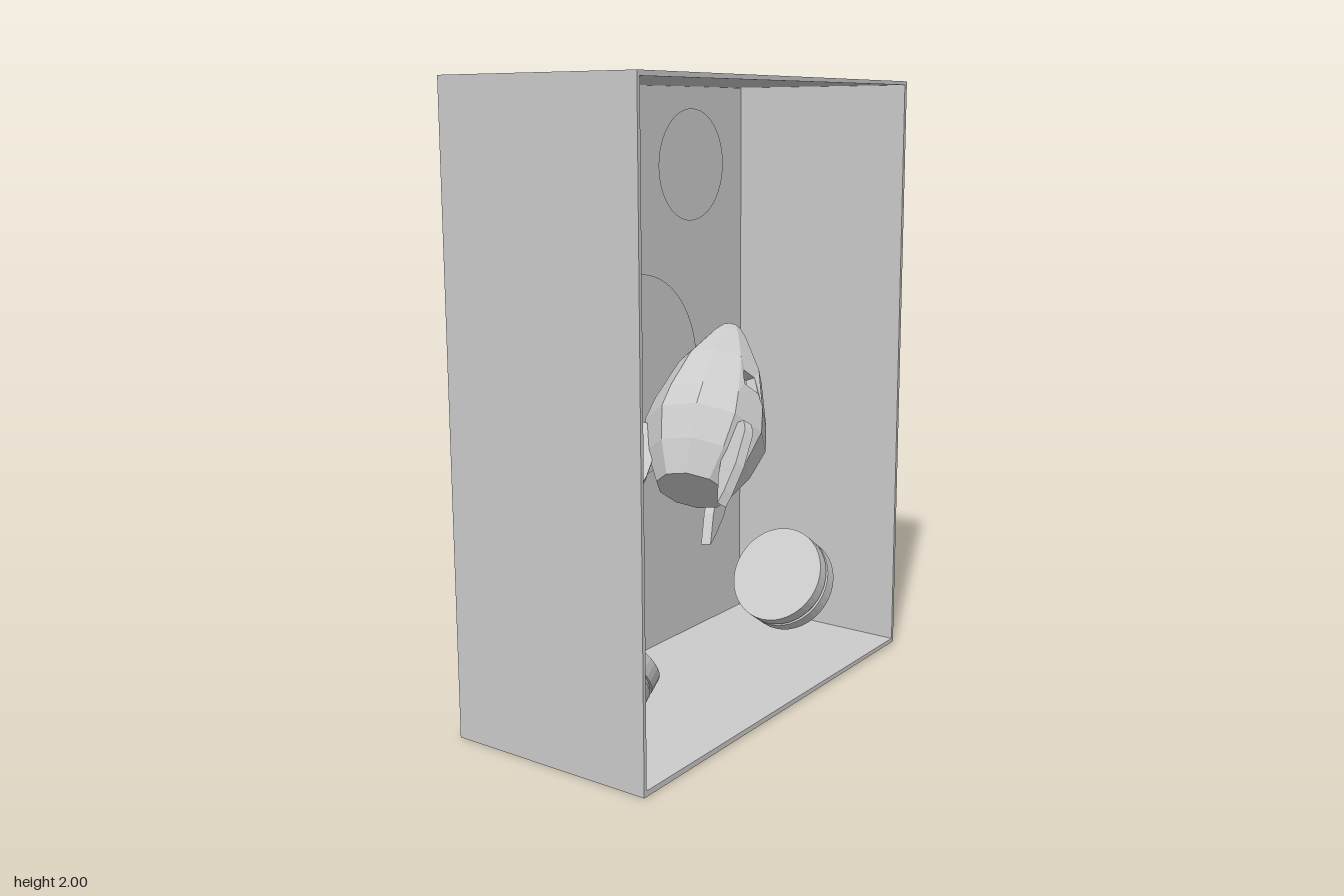
import * as THREE from 'three';

const grey = new THREE.MeshStandardMaterial({ color: 0xcccccc, flatShading: true });
const greyThin = new THREE.MeshStandardMaterial({ color: 0xcccccc, flatShading: true, side: THREE.DoubleSide });
const vecs = (pts) => pts.map(([x, y]) => new THREE.Vector2(x, y));

function add(parent, name, geometry, material = grey) {
  const mesh = new THREE.Mesh(geometry, material);
  mesh.name = name;
  parent.add(mesh);
  return mesh;
}

// Faceted hull built from rings, with one facet recessed as a window
function hullGeometry() {
  const rings = [[0, 0], [0, 0.12], [0.1, 0.175], [0.21, 0.207], [0.3, 0.192],
    [0.46, 0.145], [0.6, 0.065], [0.64, 0.035], [0.645, 0]];
  const sides = 10, windowRow = 4, windowSide = sides - 1;
  const pos = [];
  const quad = (a, b, c, d) => [a, b, c, a, c, d].forEach((p) => pos.push(p.x, p.y, p.z));
  const point = ([y, r], j) => {
    const t = (j / sides) * Math.PI * 2;
    return new THREE.Vector3(r * Math.sin(t), y, r * Math.cos(t));
  };
  for (let i = 0; i < rings.length - 1; i++) {
    for (let j = 0; j < sides; j++) {
      const c = [point(rings[i], j), point(rings[i], j + 1), point(rings[i + 1], j + 1), point(rings[i + 1], j)];
      if (i !== windowRow || j !== windowSide) {
        quad(...c);
        continue;
      }
      const mid = c.reduce((s, p) => s.add(p), new THREE.Vector3()).multiplyScalar(0.25);
      const inward = new THREE.Vector3(-mid.x, 0, -mid.z).setLength(0.04);
      const rim = c.map((p) => new THREE.Vector3(
        THREE.MathUtils.lerp(mid.x, p.x, 0.58),
        THREE.MathUtils.lerp(mid.y, p.y, 0.4),
        THREE.MathUtils.lerp(mid.z, p.z, 0.58)));
      const floor = rim.map((p) => p.clone().add(inward));
      for (let k = 0; k < 4; k++) {
        const n = (k + 1) % 4;
        quad(c[k], c[n], rim[n], rim[k]);
        quad(rim[k], rim[n], floor[n], floor[k]);
      }
      quad(...floor);
    }
  }
  const geo = new THREE.BufferGeometry();
  geo.setAttribute('position', new THREE.Float32BufferAttribute(pos, 3));
  geo.computeVertexNormals();
  return geo;
}

function createRocket() {
  const rocket = new THREE.Group();
  rocket.name = 'rocket';
  add(rocket, 'hull', hullGeometry());

  // Three swept fins around the tail (x = radius, y = along the hull)
  const fin = new THREE.Shape(vecs([[0.19, 0.19], [0.15, 0.06], [0.155, 0], [0.17, -0.05],
    [0.185, -0.1], [0.205, -0.06], [0.235, 0.03], [0.245, 0.15], [0.225, 0.19]]));
  const finGeo = new THREE.ExtrudeGeometry(fin, { depth: 0.034, bevelEnabled: false });
  finGeo.translate(0, 0, -0.017);
  for (let k = 0; k < 3; k++) {
    add(rocket, 'fin', finGeo).rotation.y = THREE.MathUtils.degToRad(5 + 120 * k);
  }

  // Nose points up, to the side and slightly back
  const axis = new THREE.Vector3(0.42, 0.48, -0.13).normalize();
  const side = axis.clone().cross(new THREE.Vector3(0, 0, 1)).normalize();
  const front = side.clone().cross(axis);
  rocket.quaternion.setFromRotationMatrix(new THREE.Matrix4().makeBasis(side, axis, front));
  rocket.position.set(-0.04, 0.69, 0.02);
  return rocket;
}

export function createModel() {
  const model = new THREE.Group();
  model.name = 'rocketShadowBox';

  // Open, slightly uneven frame
  const outline = new THREE.Shape(vecs([[-0.745, 0], [0.75, 0.01], [0.742, 2], [-0.755, 1.995]]));
  outline.holes.push(new THREE.Path(vecs([[-0.733, 0.018], [-0.743, 1.98], [0.728, 1.988], [0.738, 0.024]])));
  const frameGeo = new THREE.ExtrudeGeometry(outline, { depth: 0.71, bevelEnabled: false });
  frameGeo.translate(0, 0, -0.355);
  add(model, 'frame', frameGeo);

  // Back panel set in from the rear edge
  add(model, 'backPanel', new THREE.BoxGeometry(1.474, 1.968, 0.008)).position.set(-0.002, 1.003, -0.31);

  // Flat discs: one on the back panel, a small one near the opening
  add(model, 'backDisc', new THREE.CircleGeometry(0.352, 64), greyThin).position.set(0.09, 1.01, -0.302);
  add(model, 'frontDisc', new THREE.CircleGeometry(0.15, 48), greyThin).position.set(-0.51, 1.75, 0.352);

  model.add(createRocket());

  // Grooved round pucks leaning inwards in the lower corners
  const r = 0.174, h = 0.057;
  const puckGeo = new THREE.LatheGeometry(vecs([[0, -h], [r, -h], [r, -0.007], [r - 0.008, -0.007],
    [r - 0.008, 0.007], [r, 0.007], [r, h], [0, h]]), 40);
  for (const [name, x, lean] of [['rightPuck', -0.495, -51], ['leftPuck', 0.5625, 56.3]]) {
    const puck = add(model, name, puckGeo);
    puck.position.set(x, 0.23, 0);
    puck.rotation.z = THREE.MathUtils.degToRad(lean);
  }
  return model;
}
